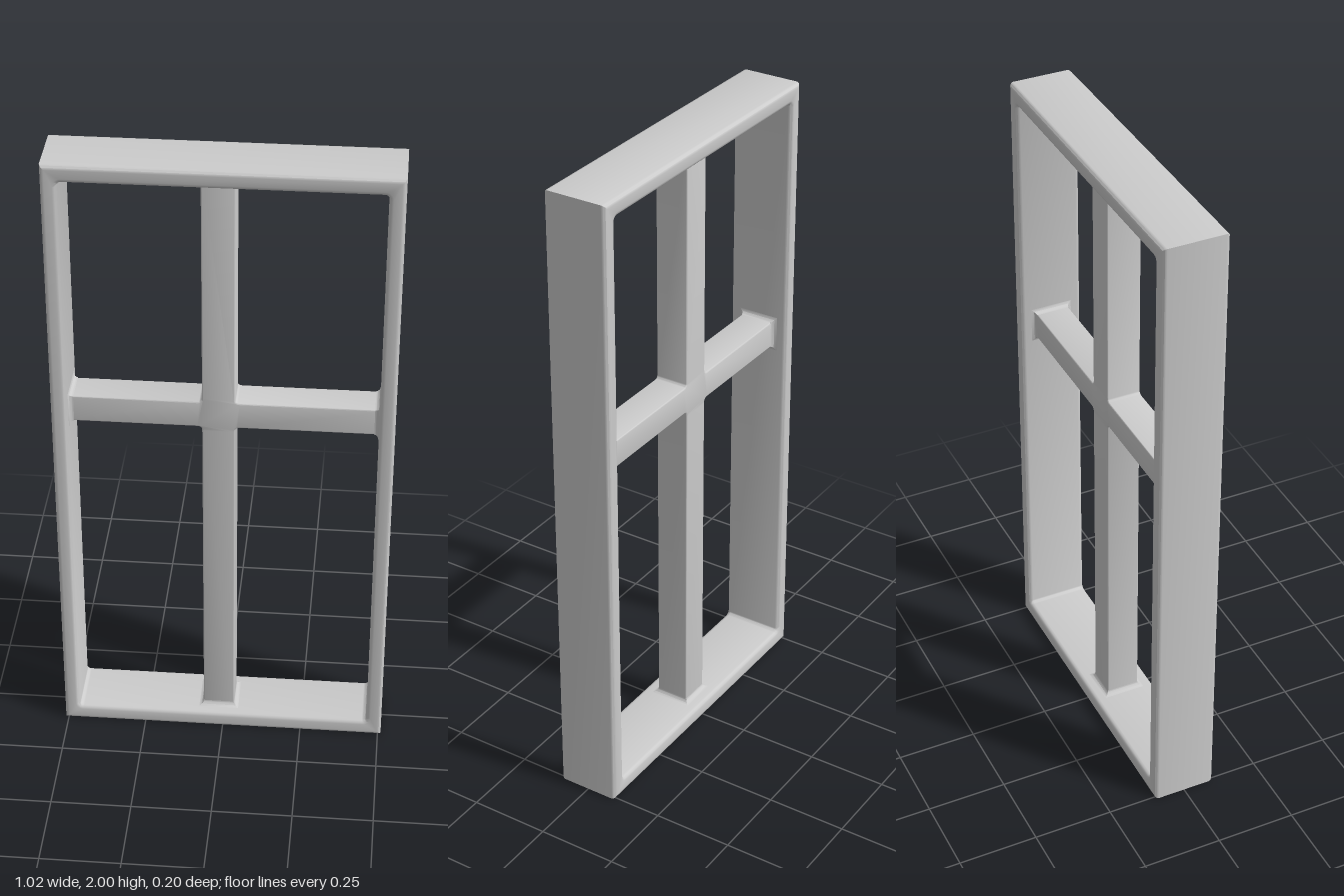
import * as THREE from 'three';
import { toCreasedNormals } from 'three/addons/utils/BufferGeometryUtils.js';

const material = new THREE.MeshStandardMaterial({ color: 0xcccccc });
const W = 0.51, H = 2, D = 0.2;                          // outer half width, height, depth
const IN = { x: 0.462, y0: 0.052, y1: 1.948 };           // frame opening
const BAR = { x0: -0.064, x1: 0.034, y0: 1.128, y1: 1.214, depth: 0.106 };
const FILLET = 0.014;

function mesh(name, geometry) {
  const m = new THREE.Mesh(toCreasedNormals(geometry, 0.7), material);
  m.name = name;
  return m;
}

// Rectangle path with rounded corners
function roundedRect(path, x0, y0, x1, y1, r) {
  path.moveTo(x0 + r, y0);
  path.lineTo(x1 - r, y0).quadraticCurveTo(x1, y0, x1, y0 + r);
  path.lineTo(x1, y1 - r).quadraticCurveTo(x1, y1, x1 - r, y1);
  path.lineTo(x0 + r, y1).quadraticCurveTo(x0, y1, x0, y1 - r);
  path.lineTo(x0, y0 + r).quadraticCurveTo(x0, y0, x0 + r, y0);
  return path;
}

// Extrusion centred on z = 0 whose rounded edges stay inside the outline
function slab(shape, depth, bevel) {
  const g = new THREE.ExtrudeGeometry(shape, {
    depth: depth - 2 * bevel, curveSegments: 5, bevelEnabled: true,
    bevelThickness: bevel, bevelSize: bevel, bevelOffset: -bevel, bevelSegments: 3,
  });
  return g.translate(0, 0, bevel - depth / 2);
}

// Concave collar that widens towards +y, its wide end at the origin
function flare(width, depth) {
  const g = new THREE.BoxGeometry(width, FILLET, depth, 1, 5, 1).translate(0, -FILLET / 2, 0);
  const p = g.attributes.position;
  for (let i = 0; i < p.count; i++) {
    const t = 1 + p.getY(i) / FILLET;
    const out = FILLET * (1 - Math.sqrt(Math.max(0, 1 - t * t)));
    p.setX(i, p.getX(i) + Math.sign(p.getX(i)) * out);
    p.setZ(i, p.getZ(i) + Math.sign(p.getZ(i)) * out);
  }
  return g;
}

export function createModel() {
  const model = new THREE.Group();
  model.name = 'windowFrame';

  // Outer frame with softened front and back edges
  const outer = new THREE.Shape();
  outer.moveTo(-W, 0).lineTo(W, 0).lineTo(W, H).lineTo(-W, H).closePath();
  outer.holes.push(roundedRect(new THREE.Path(), -IN.x, IN.y0, IN.x, IN.y1, FILLET));
  model.add(mesh('outerFrame', slab(outer, D, 0.013)));

  // Crossed glazing bars, filleted where they meet, ends sunk into the frame
  const { x0, x1, y0, y1, depth } = BAR;
  const ex = IN.x + 0.02, eb = IN.y0 - 0.02, et = IN.y1 + 0.02, r = FILLET;
  const cross = new THREE.Shape();
  cross.moveTo(x0, eb).lineTo(x1, eb);
  cross.lineTo(x1, y0 - r).quadraticCurveTo(x1, y0, x1 + r, y0);
  cross.lineTo(ex, y0).lineTo(ex, y1);
  cross.lineTo(x1 + r, y1).quadraticCurveTo(x1, y1, x1, y1 + r);
  cross.lineTo(x1, et).lineTo(x0, et);
  cross.lineTo(x0, y1 + r).quadraticCurveTo(x0, y1, x0 - r, y1);
  cross.lineTo(-ex, y1).lineTo(-ex, y0);
  cross.lineTo(x0 - r, y0).quadraticCurveTo(x0, y0, x0, y0 - r);
  cross.closePath();
  model.add(mesh('glazingBars', slab(cross, depth, 0.004)));

  // Collars where the bars run into the frame
  const cx = (x0 + x1) / 2, cy = (y0 + y1) / 2;
  const collars = [
    ['topCollar', x1 - x0, cx, IN.y1, 0],
    ['bottomCollar', x1 - x0, cx, IN.y0, Math.PI],
    ['leftCollar', y1 - y0, IN.x, cy, -Math.PI / 2],
    ['rightCollar', y1 - y0, -IN.x, cy, Math.PI / 2],
  ];
  for (const [name, width, x, y, turn] of collars) {
    const collar = mesh(name, flare(width, depth));
    collar.position.set(x, y, 0);
    collar.rotation.z = turn;
    model.add(collar);
  }
  return model;
}
